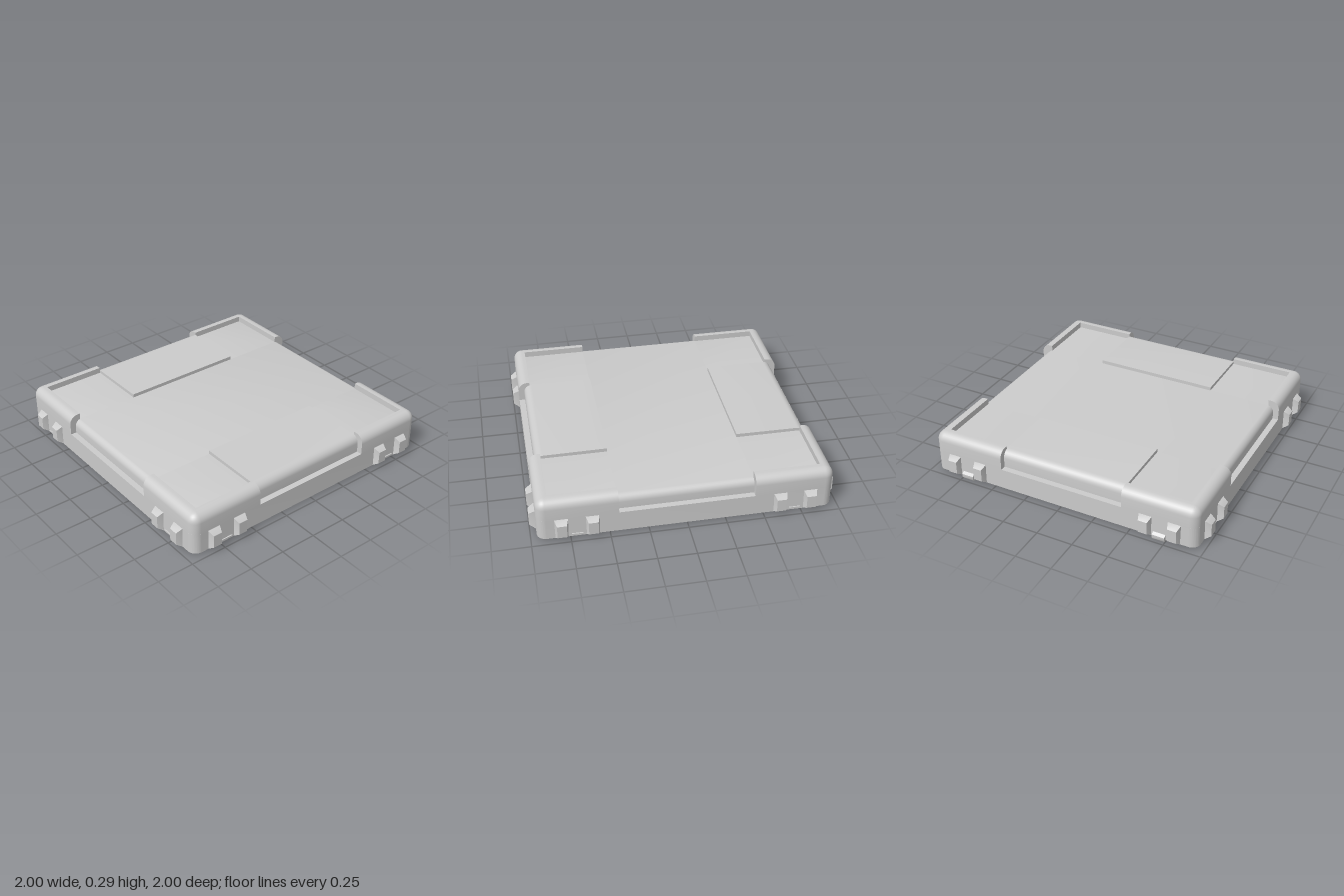
import * as THREE from 'three';
import { toCreasedNormals } from 'three/addons/utils/BufferGeometryUtils.js';

const material = new THREE.MeshStandardMaterial({ color: 0xcccccc });
const BASE = 0.013; // underside of the wall
const LEDGE = 0.157; // top of the wall

function addMesh(parent, name, geometry) {
  const mesh = new THREE.Mesh(toCreasedNormals(geometry, 0.6), material);
  mesh.name = name;
  parent.add(mesh);
  return mesh;
}

// Quarter arc from the outer side up to the top, as [x, y] points
function arc(cx, cy, r, steps = 8) {
  return Array.from({ length: steps + 1 }, (_, i) => {
    const a = (i / steps) * Math.PI / 2;
    return [cx + r * Math.cos(a), cy + r * Math.sin(a)];
  });
}

// Extrudes a closed outline, centred on z
function prism(points, length) {
  const shape = new THREE.Shape(points.map(([x, y]) => new THREE.Vector2(x, y)));
  const geometry = new THREE.ExtrudeGeometry(shape, { depth: length, bevelEnabled: false });
  return geometry.translate(0, 0, -length / 2);
}

function roundedSquare(half, r, Type) {
  const path = new Type();
  const c = half - r;
  path.absarc(c, c, r, 0, Math.PI / 2);
  path.absarc(-c, c, r, Math.PI / 2, Math.PI);
  path.absarc(-c, -c, r, Math.PI, Math.PI * 1.5);
  path.absarc(c, -c, r, Math.PI * 1.5, Math.PI * 2);
  path.closePath();
  return path;
}

// Raised L-shaped corner rim: a rounded section swept around one corner,
// round on the outside and mitred on the inside
function cornerRim() {
  const section = [...arc(0, 0.235, 0.06), [-0.02, 0.295], [-0.02, LEDGE], [0.06, LEDGE]];
  const stations = [[0.44, 0.9, 0, 1, 0, 1]];
  for (let i = 0; i <= 8; i++) {
    const a = (i / 8) * Math.PI / 2;
    stations.push([0.9, 0.9, Math.sin(a), Math.cos(a), 1, 1]);
  }
  stations.push([0.9, 0.44, 1, 0, 1, 0]);
  const n = section.length, last = (stations.length - 1) * n;
  const positions = [], index = [];
  for (const [cx, cz, outX, outZ, inX, inZ] of stations) {
    for (const [d, y] of section) {
      positions.push(cx + d * (d < 0 ? inX : outX), y, cz + d * (d < 0 ? inZ : outZ));
    }
  }
  for (let s = 0; s < stations.length - 1; s++) {
    for (let p = 0; p < n; p++) {
      const q = (p + 1) % n;
      const a = s * n + p, b = a + n, d = s * n + q, c = d + n;
      index.push(a, b, c, a, c, d);
    }
  }
  for (let p = 1; p < n - 1; p++) {
    index.push(0, p, p + 1, last, last + p + 1, last + p);
  }
  const geometry = new THREE.BufferGeometry();
  geometry.setAttribute('position', new THREE.Float32BufferAttribute(positions, 3));
  geometry.setIndex(index);
  return geometry;
}

// Side lug with chamfered ends, narrowing towards its outer face (+z)
function lugGeometry() {
  const geometry = prism([[0.95, 0.155], [0.96, 0.155], [1, 0.13],
    [1, 0.042], [0.96, 0.015], [0.95, 0.015]], 0.088);
  geometry.rotateY(-Math.PI / 2);
  const pos = geometry.attributes.position;
  for (let i = 0; i < pos.count; i++) {
    const t = Math.max(0, (pos.getZ(i) - 0.96) / 0.04);
    pos.setX(i, pos.getX(i) * (1 - 0.3 * t));
  }
  return geometry;
}

export function createModel() {
  const model = new THREE.Group();
  model.name = 'crateLid';

  // Lower wall, open from below
  const ring = roundedSquare(0.96, 0.06, THREE.Shape);
  ring.holes.push(roundedSquare(0.88, 0.05, THREE.Path));
  const wall = new THREE.ExtrudeGeometry(ring, { depth: LEDGE - BASE, bevelEnabled: false, curveSegments: 8 });
  addMesh(model, 'lowerWall', wall.rotateX(-Math.PI / 2).translate(0, BASE, 0));

  // Thin deck with side edges rounded outside and inside;
  // end strips leave room for the raised panels
  const fillet = arc(0.82, LEDGE, 0.06).reverse();
  const edge = [...fillet, [0.92, LEDGE], ...arc(0.87, 0.205, 0.05)];
  const mirrored = edge.map(([x, y]) => [-x, y]).reverse();
  addMesh(model, 'deck', prism([...edge, ...mirrored], 0.88));
  for (const sx of [1, -1]) {
    for (const sz of [1, -1]) {
      const outline = [[0.44, LEDGE + 0.06], ...edge, [0.44, 0.255]].map(([x, y]) => [sx * x, y]);
      addMesh(model, 'deckStrip', prism(outline, 0.44).translate(0, 0, sz * 0.66));
      // Inner fillet between the strip and the end wall
      const corner = prism([...fillet, [0.88, LEDGE + 0.06]], 0.44).rotateY(-Math.PI / 2);
      addMesh(model, 'innerFillet', corner.translate(sx * 0.66, 0, 0).rotateY(sz > 0 ? 0 : Math.PI));
    }
  }

  // Raised panels at front and back
  const panel = [[0.44, 0.245], ...arc(0.82, 0.185, 0.06).reverse(), [0.88, LEDGE], [0.92, LEDGE],
    ...arc(0.865, 0.222, 0.055), [0.44, 0.28]];
  for (const turn of [0, Math.PI]) {
    const geometry = prism(panel, 0.88).rotateY(-Math.PI / 2);
    addMesh(model, turn ? 'backPanel' : 'frontPanel', geometry).rotation.y = turn;
  }

  // Corner rims, lugs and catches repeat on all four sides
  for (let side = 0; side < 4; side++) {
    const group = new THREE.Group();
    group.name = 'side' + (side + 1);
    group.rotation.y = side * Math.PI / 2;
    addMesh(group, 'cornerRim', cornerRim());
    for (const x of [-0.805, -0.607, 0.607, 0.805]) {
      addMesh(group, 'lug', lugGeometry().translate(x, 0, 0));
    }
    for (const x of [-0.705, 0.705]) {
      // The back catches hang below the wall
      const catchGeometry = side === 2
        ? prism([[0.95, 0.05], [0.962, 0.05], [0.978, 0.035], [0.978, 0.012], [0.97, 0], [0.964, 0], [0.95, 0.015]], 0.085)
        : prism([[0.95, 0.028], [0.968, 0.028], [0.968, 0.035], [0.95, 0.035]], 0.075);
      addMesh(group, 'catch', catchGeometry.rotateY(-Math.PI / 2).translate(x, 0, 0));
    }
    model.add(group);
  }
  return model;
}
